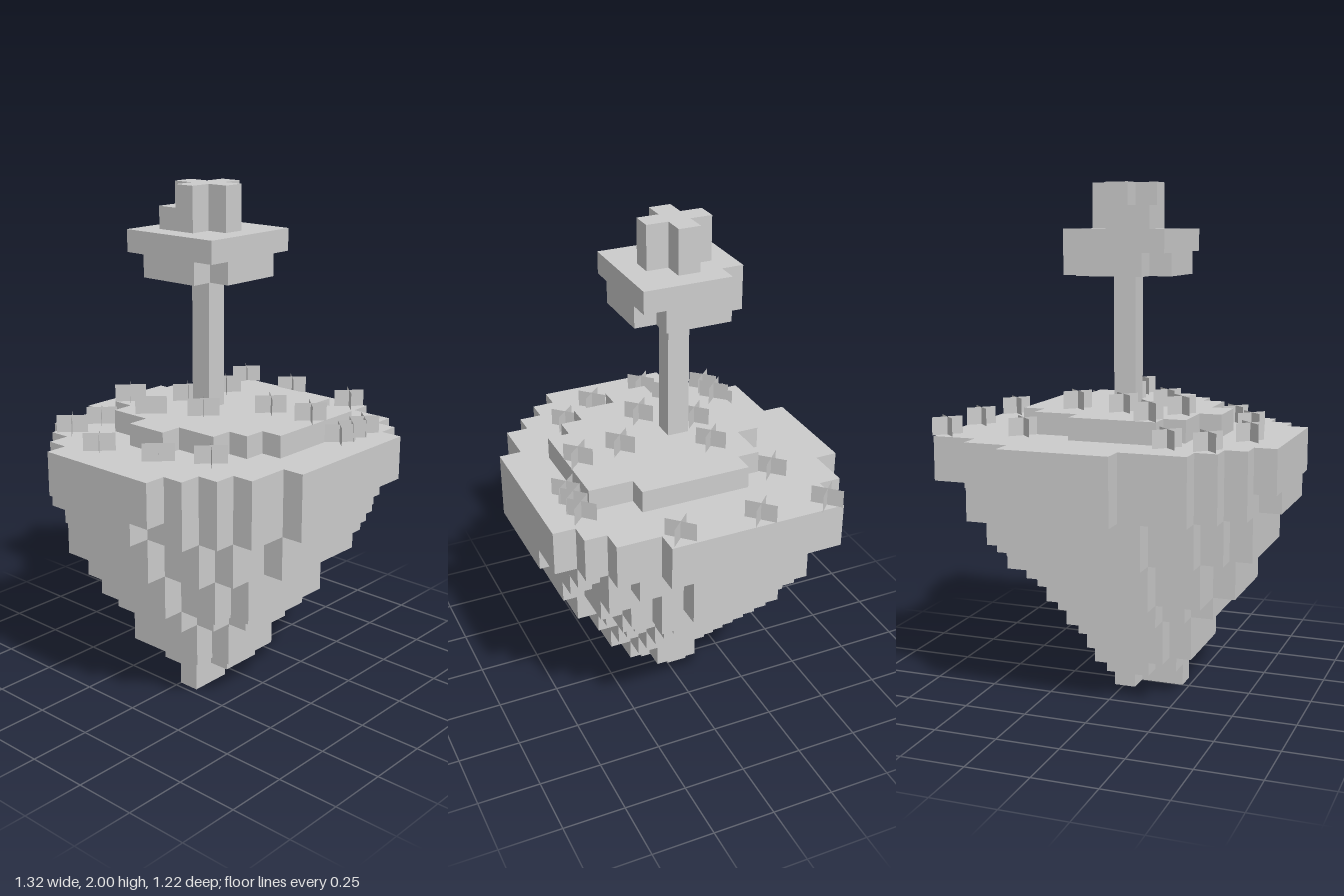
import * as THREE from 'three';
import { mergeGeometries } from 'three/addons/utils/BufferGeometryUtils.js';

const U = 2 / 23;               // voxel edge
const X0 = -0.658, Z0 = -7 * U; // grid origin

const grey = new THREE.MeshStandardMaterial({ color: 0xcccccc, side: THREE.DoubleSide });
grey.name = 'grey';

// a set of voxels turned into its exposed faces
class Voxels {
  cells = new Map();
  add(i, j, k) { this.cells.set(`${i},${j},${k}`, [i, j, k]); }
  rows(j, k0, rows) {
    rows.forEach(([a, b], n) => { for (let i = a; i < b; i++) this.add(i, j, k0 + n); });
  }
  geometry() {
    const pos = [], nor = [];
    for (const [i, j, k] of this.cells.values()) {
      for (let axis = 0; axis < 3; axis++) for (const s of [1, -1]) {
        const n = [0, 0, 0];
        n[axis] = s;
        if (this.cells.has(`${i + n[0]},${j + n[1]},${k + n[2]}`)) continue;
        const corner = (p, q) => {
          const c = [0, 0, 0];
          c[axis] = s > 0 ? 1 : 0;
          c[(axis + 1) % 3] = p;
          c[(axis + 2) % 3] = q;
          return [X0 + (i + c[0]) * U, (j + c[1]) * U, Z0 + (k + c[2]) * U];
        };
        const q = [corner(0, 0), corner(1, 0), corner(1, 1), corner(0, 1)];
        if (s < 0) q.reverse();
        for (const v of [0, 1, 2, 0, 2, 3]) { pos.push(...q[v]); nor.push(...n); }
      }
    }
    const g = new THREE.BufferGeometry();
    g.setAttribute('position', new THREE.Float32BufferAttribute(pos, 3));
    g.setAttribute('normal', new THREE.Float32BufferAttribute(nor, 3));
    return g;
  }
}

// outline of the island top: [first, end) column for each row, back to front
const RIM = [[6, 11], [3, 13], [2, 15], [1, 15], [0, 15], [0, 15], [0, 15], [0, 15],
  [0, 15], [0, 15], [1, 14], [2, 14], [3, 13], [5, 12]];
const MOUND = [[5, 9], [4, 11], [4, 12], [3, 12], [3, 12], [4, 12], [4, 12], [5, 11], [6, 11]];
const TIP = [[7, 8], [5, 7]];

// extents of the rock layers above the tip, bottom up: x from, x to, z from, z to
const TAPER = [[5, 9, 5, 9], [4, 9, 4, 10], [4, 10, 4, 10], [3, 11, 3, 11],
  [2, 12, 2, 12], [2, 13, 2, 12], [1, 14, 1, 13], [1, 15, 1, 13], [0, 15, 0, 14]];

// repeatable roughness of a column, -1 to 1
function rough(i, k) {
  const s = Math.sin(i * 12.99 + k * 78.23) * 43758.5;
  return 2 * (s - Math.floor(s)) - 1;
}

function islandGeometry() {
  const v = new Voxels();
  v.rows(0, 6, TIP);
  TAPER.forEach(([xa, xb, za, zb], n) => {
    for (let k = za; k < zb; k++) for (let i = xa; i < xb; i++) {
      if (i < RIM[k][0] || i >= RIM[k][1]) continue;
      const dx = (2 * i + 1 - xa - xb) / (xb - xa);
      const dz = (2 * k + 1 - za - zb) / (zb - za);
      // each column of rock is solid up to the rim
      if (dx * dx + dz * dz <= 1 + 0.07 * rough(i, k)) for (let j = n + 1; j < 10; j++) v.add(i, j, k);
    }
  });
  v.rows(10, 0, RIM);
  v.rows(11, 0, RIM);
  v.rows(12, 3, MOUND);
  return v.geometry();
}

function trunkGeometry() {
  const v = new Voxels();
  for (let j = 13; j < 19; j++) v.add(7, j, 6);
  return v.geometry();
}

function crownGeometry() {
  const v = new Voxels();
  v.rows(19, 4, [[6, 9], [5, 10], [5, 10], [5, 10], [6, 9]]);
  v.rows(20, 4, [[5, 9], [5, 10], [5, 10], [5, 10], [5, 10]]);
  v.rows(21, 5, [[6, 8], [6, 9], [7, 8]]);
  v.rows(22, 5, [[7, 8], [6, 9], [7, 8]]);
  return v.geometry();
}

// tuft of grass: two crossed upright blades on the diagonals
function tuftGeometry() {
  const blades = [1, -1].map((s) =>
    new THREE.PlaneGeometry(0.122, 0.07).rotateY(s * Math.PI / 4).translate(0, 0.035, 0));
  return mergeGeometries(blades);
}

// x, z of the tufts on the rim and on the mound
const RIM_TUFTS = [[-0.43, -0.377], [-0.275, -0.375], [-0.52, -0.125], [-0.46, 0.125], [-0.35, 0.285],
  [0.33, -0.3], [0.615, -0.38], [0.605, -0.11], [0.595, 0.205], [0.17, 0.475], [0.325, 0.475], [0.245, 0.475]];
const MOUND_TUFTS = [[0.09, 0.395], [0.07, 0.215], [-0.135, 0.05], [0.18, -0.115], [-0.02, -0.14],
  [-0.25, -0.12], [-0.18, -0.305]];

export function createModel() {
  const model = new THREE.Group();
  model.name = 'floatingIsland';
  const add = (name, geometry) => {
    const m = new THREE.Mesh(geometry, grey);
    m.name = name;
    model.add(m);
    return m;
  };
  add('island', islandGeometry());
  add('treeTrunk', trunkGeometry());
  add('treeCrown', crownGeometry());

  const tuft = tuftGeometry();
  for (const [x, z] of RIM_TUFTS) add('rimGrass', tuft).position.set(x, 12 * U, z);
  for (const [x, z] of MOUND_TUFTS) add('moundGrass', tuft).position.set(x, 13 * U, z);
  return model;
}
